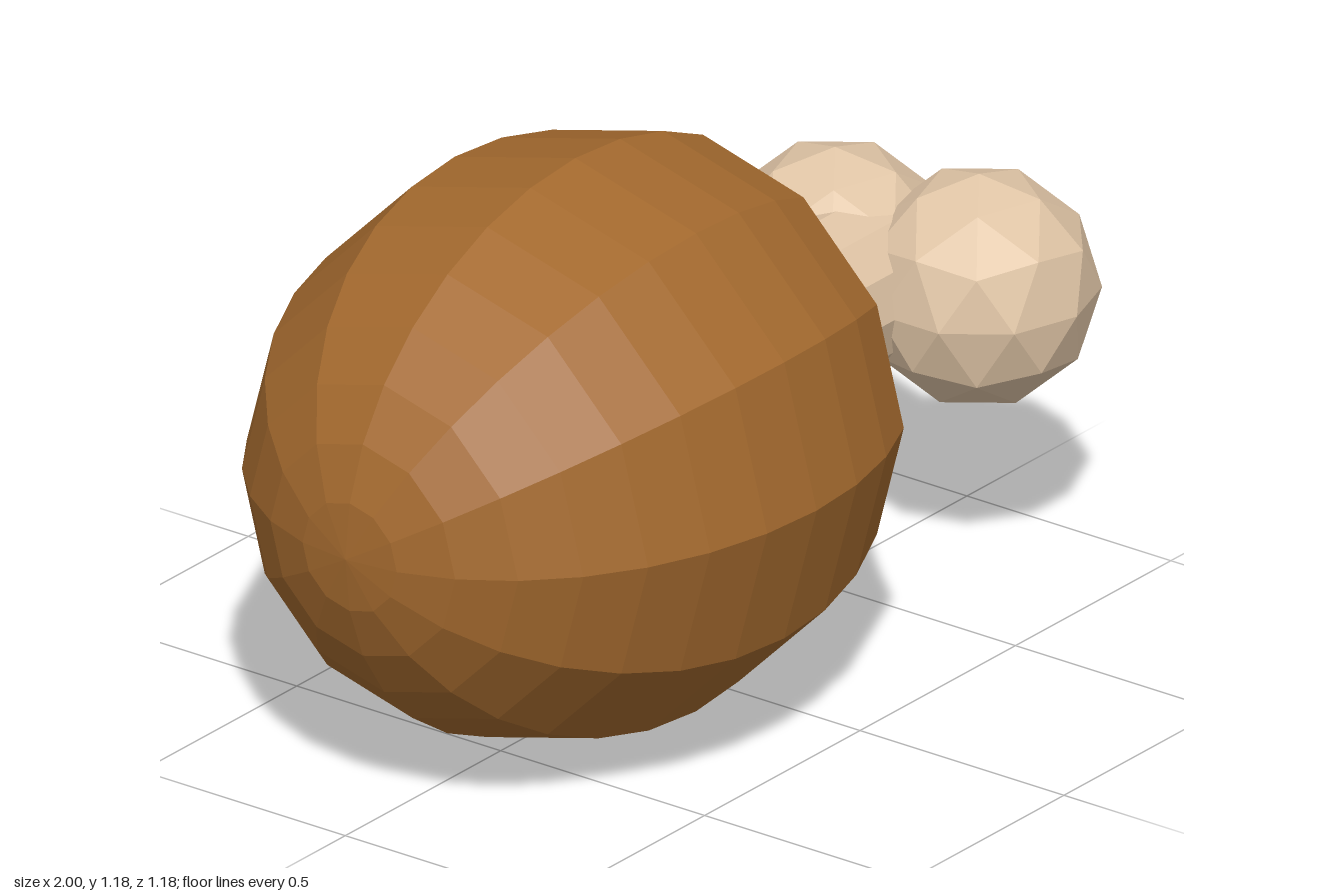
import * as THREE from 'three';

export function createModel() {
  const model = new THREE.Group();
  model.name = 'drumstick';
  const roastedMeat = new THREE.MeshStandardMaterial({ color: 0xa3692e, flatShading: true });
  roastedMeat.name = 'roasted meat';
  const bone = new THREE.MeshStandardMaterial({ color: 0xe0c5a6, flatShading: true });
  bone.name = 'bone';

  const midY = 0.594;
  const add = (name, geometry, material, x, z = 0) => {
    const mesh = new THREE.Mesh(geometry, material);
    mesh.name = name;
    mesh.position.set(x, midY, z);
    model.add(mesh);
  };

  // Meat: twelve-sided ellipsoid lying along x, tapered towards the bone
  const length = 0.74, radius = 0.592;
  const taper = { 12: 0.88, 13: 0.84, 14: 0.75, 15: 0.7 };
  const profile = [];
  for (let i = 0; i <= 16; i++) {
    const a = (i / 16) * Math.PI;
    const r = i % 16 === 0 ? 0 : Math.sin(a) * radius * (taper[i] ?? 1);
    // the last rings are drawn in to close the neck flat around the bone
    const x = Math.min(-Math.cos(a) * length, 0.686);
    profile.push(new THREE.Vector2(r, x));
  }
  add('meat', new THREE.LatheGeometry(profile, 12).rotateZ(-Math.PI / 2), roastedMeat, -0.26);

  // Bone shaft
  add('boneShaft', new THREE.CylinderGeometry(0.172, 0.172, 0.4, 12).rotateZ(-Math.PI / 2), bone, 0.52);

  // Two faceted knuckles, each standing on a corner
  const knuckle = new THREE.IcosahedronGeometry(0.24, 1)
    .rotateZ(Math.atan(2 / (1 + Math.sqrt(5))))
    .rotateY(Math.PI);
  add('frontKnuckle', knuckle, bone, 0.77, 0.205);
  add('backKnuckle', knuckle, bone, 0.7, -0.095);

  return model;
}
